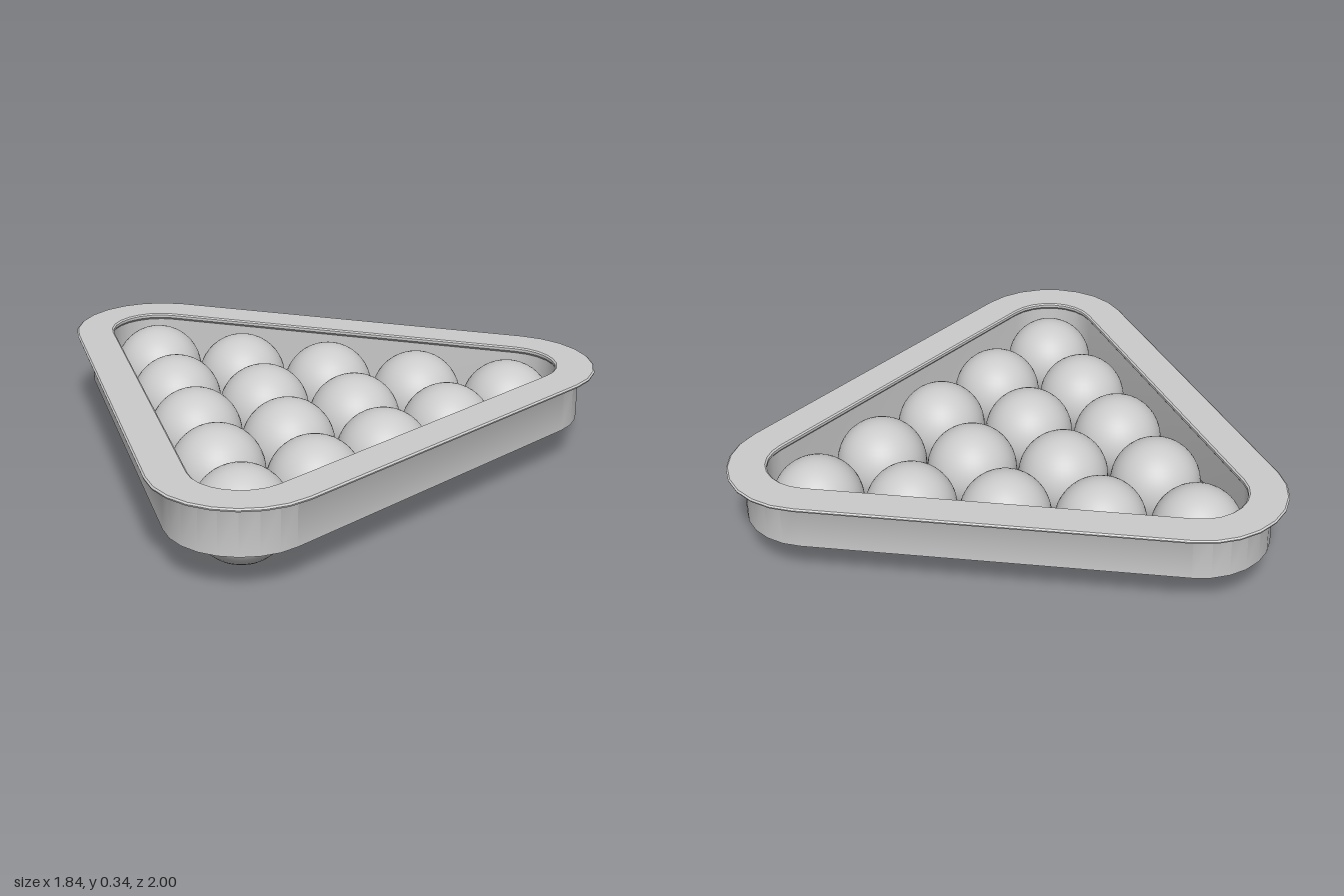
import * as THREE from 'three';
import { toCreasedNormals } from 'three/addons/utils/BufferGeometryUtils.js';

const R = 0.168; // ball radius
const STEP_X = 0.3, STEP_Z = 0.341;
const CORNERS = [[0.6, 2 * STEP_Z], [-0.6, 0], [0.6, -2 * STEP_Z]];
const ARC_STEPS = 8;

// Sweep a closed [offset, height] profile around the rounded triangle
function sweepTriangle(profile) {
  const path = [];
  CORNERS.forEach(([x, z], c) => {
    for (let i = 0; i <= ARC_STEPS; i++) {
      const a = (c + i / ARC_STEPS) * Math.PI * 2 / 3;
      path.push([x, z, Math.cos(a), Math.sin(a)]);
    }
  });
  const positions = [], indices = [];
  const n = profile.length, m = path.length;
  for (const [x, z, dx, dz] of path) {
    for (const [offset, y] of profile) positions.push(x + dx * offset, y, z + dz * offset);
  }
  for (let i = 0; i < m; i++) {
    for (let j = 0; j < n; j++) {
      const a = i * n + j, b = i * n + (j + 1) % n;
      const c = ((i + 1) % m) * n + j, d = ((i + 1) % m) * n + (j + 1) % n;
      indices.push(a, b, c, b, d, c);
    }
  }
  const geometry = new THREE.BufferGeometry();
  geometry.setAttribute('position', new THREE.Float32BufferAttribute(positions, 3));
  geometry.setIndex(indices);
  return toCreasedNormals(geometry, 0.6);
}

export function createModel() {
  const model = new THREE.Group();
  const material = new THREE.MeshStandardMaterial({ color: 0xcccccc });

  // Triangular rack: upright wall with a thin overhanging lip
  const rack = new THREE.Mesh(sweepTriangle([
    [0.26, 0.14], [0.26, 0.308], [0.266, 0.317], [0.28, 0.321],
    [0.316, 0.322], [0.318, 0.328], [0.312, 0.333],
    [0.18, 0.333], [0.174, 0.328], [0.174, 0.318], [0.18, 0.31], [0.18, 0.14],
  ]), material);
  rack.name = 'rack';
  model.add(rack);

  // Fifteen balls in rows of one to five
  const balls = new THREE.Group();
  balls.name = 'balls';
  const ballGeometry = new THREE.SphereGeometry(R, 40, 24);
  for (let row = 0; row < 5; row++) {
    for (let i = 0; i <= row; i++) {
      const ball = new THREE.Mesh(ballGeometry, material);
      ball.name = 'ball';
      ball.position.set(-0.6 + row * STEP_X, R, (i - row / 2) * STEP_Z);
      balls.add(ball);
    }
  }
  model.add(balls);
  return model;
}
